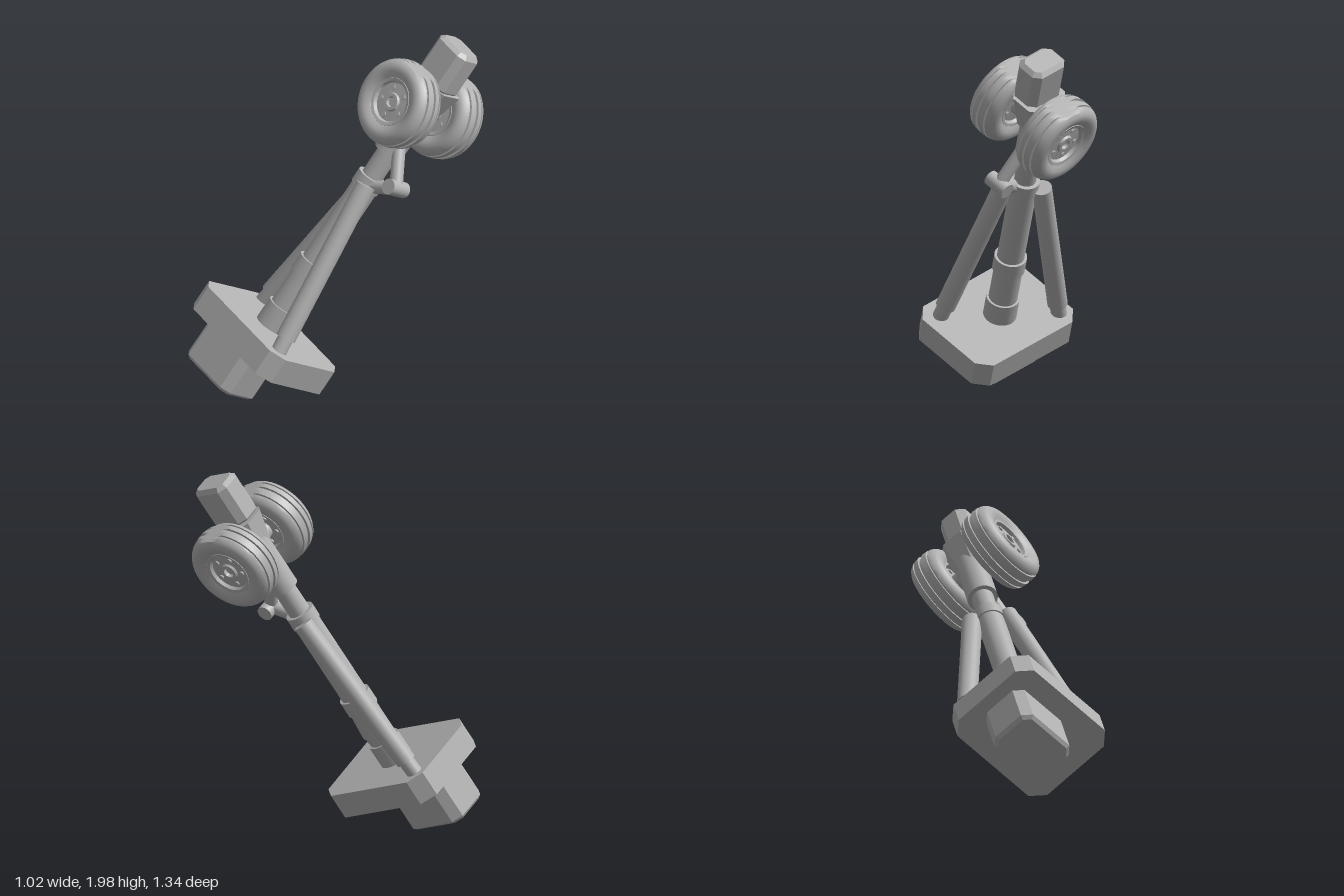
import * as THREE from 'three';
import { toCreasedNormals } from 'three/addons/utils/BufferGeometryUtils.js';

const grey = new THREE.MeshStandardMaterial({ color: 0xb2b2b2 });
grey.name = 'grey';

function add(parent, name, geometry) {
  const mesh = new THREE.Mesh(geometry, grey);
  mesh.name = name;
  parent.add(mesh);
  return mesh;
}

// Box from y = 0 to h with cut vertical corners (c) and bevelled ends (b)
function chamferBox(w, h, d, c, b) {
  const x = w / 2 - b, z = d / 2 - b;
  const shape = new THREE.Shape([
    [x - c, -z], [x, -z + c], [x, z - c], [x - c, z],
    [-x + c, z], [-x, z - c], [-x, -z + c], [-x + c, -z],
  ].map(([px, py]) => new THREE.Vector2(px, py)));
  return new THREE.ExtrudeGeometry(shape, {
    depth: h - 2 * b, bevelEnabled: b > 0, bevelThickness: b, bevelSize: b, bevelSegments: 1,
  }).rotateX(-Math.PI / 2).translate(0, b, 0);
}

// Round rod between two points
function rod(parent, name, from, to, r) {
  const dir = to.clone().sub(from);
  const mesh = add(parent, name, new THREE.CylinderGeometry(r, r, dir.length(), 32));
  mesh.position.copy(from).addScaledVector(dir, 0.5);
  mesh.quaternion.setFromUnitVectors(new THREE.Vector3(0, 1, 0), dir.normalize());
}

const V = (x, y, z) => new THREE.Vector3(x, y, z);

// Lathe from half a profile, mirrored about its middle
function mirroredLathe(half) {
  const points = [
    ...half.map(([r, y]) => new THREE.Vector2(r, -y)),
    ...half.slice().reverse().map(([r, y]) => new THREE.Vector2(r, y)),
  ];
  return new THREE.LatheGeometry(points, 72);
}

function makeWheel() {
  const wheel = new THREE.Group();
  wheel.name = 'wheel';

  // Grooved tyre, pressed flat at the contact side
  const tyre = mirroredLathe([
    [0.118, 0.05], [0.128, 0.076], [0.138, 0.082], [0.158, 0.092], [0.18, 0.095], [0.198, 0.09],
    [0.213, 0.079], [0.224, 0.064], [0.229, 0.052], [0.221, 0.051], [0.221, 0.042],
    [0.232, 0.041], [0.235, 0.012], [0.223, 0.011], [0.223, 0.004],
  ]).rotateX(Math.PI / 2);
  const p = tyre.attributes.position;
  for (let i = 0; i < p.count; i++) p.setY(i, Math.min(p.getY(i), 0.214));
  add(wheel, 'tyre', toCreasedNormals(tyre, 0.6));

  // Rim with a raised hub ring on both sides
  const rim = mirroredLathe([
    [0.0001, 0.05], [0.026, 0.05], [0.028, 0.07], [0.044, 0.07], [0.05, 0.058],
    [0.103, 0.056], [0.11, 0.074], [0.126, 0.078], [0.13, 0.07],
  ]).rotateX(Math.PI / 2);
  add(wheel, 'rim', toCreasedNormals(rim, 0.5));

  // Bolts
  for (let i = 0; i < 5; i++) {
    const a = -Math.PI / 2 + i * Math.PI * 2 / 5;
    const bolt = add(wheel, 'bolt', new THREE.CylinderGeometry(0.013, 0.013, 0.13, 12));
    bolt.rotation.x = Math.PI / 2;
    bolt.position.set(0.078 * Math.cos(a), 0.078 * Math.sin(a), 0);
  }
  return wheel;
}

export function createModel() {
  const model = new THREE.Group();
  model.name = 'landingGear';
  const gear = new THREE.Group();
  gear.name = 'tiltedGear';
  gear.rotation.set(-29 * Math.PI / 180, 0, -16.3 * Math.PI / 180, 'ZYX');
  gear.position.set(-0.16, 0.294, 0.427);
  model.add(gear);

  // Mounting plate and the block under it
  add(gear, 'mountingPlate', chamferBox(0.704, 0.145, 0.54, 0.07, 0)).position.set(0.01, 0.013, 0.005);
  add(gear, 'baseBlock', chamferBox(0.38, 0.27, 0.27, 0.035, 0.018)).position.set(-0.075, -0.24, 0.026);

  // Main strut: [name, start, end, radius]
  for (const [name, y0, y1, r] of [
    ['strutFoot', 0.15, 0.285, 0.088],
    ['lowerTube', 0.28, 0.52, 0.076],
    ['strutRing', 0.49, 0.58, 0.086],
    ['upperTube', 0.57, 1.08, 0.072],
    ['collar', 1.06, 1.135, 0.079],
    ['piston', 1.1, 1.32, 0.058],
    ['hubSleeve', 1.29, 1.62, 0.08],
  ]) rod(gear, name, V(0, y0, 0), V(0, y1, 0), r);

  // Side braces to opposite corners of the plate
  for (const s of [1, -1]) {
    const foot = V(s * 0.264, 0.15, s * 0.172), top = V(s * 0.055, 1.1, s * 0.075);
    rod(gear, 'braceRod', foot, top, 0.042);
    rod(gear, 'braceSleeve', foot.clone().lerp(top, 0.08), top, 0.053);
  }

  // Folding link beside the piston
  const pin = V(0.185, 1.186, 0.015);
  rod(gear, 'upperLink', V(0.04, 1.37, 0.015), pin, 0.035);
  rod(gear, 'lowerLink', V(0.04, 1.09, 0.015), pin, 0.035);
  rod(gear, 'linkPin', pin.clone().add(V(0, 0, -0.065)), pin.clone().add(V(0, 0, 0.065)), 0.042);

  // Flared mount widening towards the end block
  const flare = chamferBox(0.26, 0.2, 0.21, 0.045, 0);
  const p = flare.attributes.position;
  for (let i = 0; i < p.count; i++) {
    const k = Math.min(1, p.getY(i) / 0.2);
    p.setX(i, p.getX(i) * (0.6 + 0.4 * k));
    p.setZ(i, p.getZ(i) * (0.74 + 0.26 * k));
  }
  flare.computeVertexNormals();
  add(gear, 'flaredMount', flare).position.set(0.015, 1.55, 0);
  add(gear, 'endBlock', chamferBox(0.23, 0.25, 0.17, 0.025, 0.022)).position.set(0.02, 1.74, 0.015);

  // Axle and wheels
  rod(gear, 'axle', V(0.02, 1.585, -0.17), V(0.02, 1.585, 0.18), 0.05);
  for (const z of [0.182, -0.172]) {
    const wheel = makeWheel();
    wheel.position.set(0.02, 1.585, z);
    gear.add(wheel);
  }
  return model;
}
